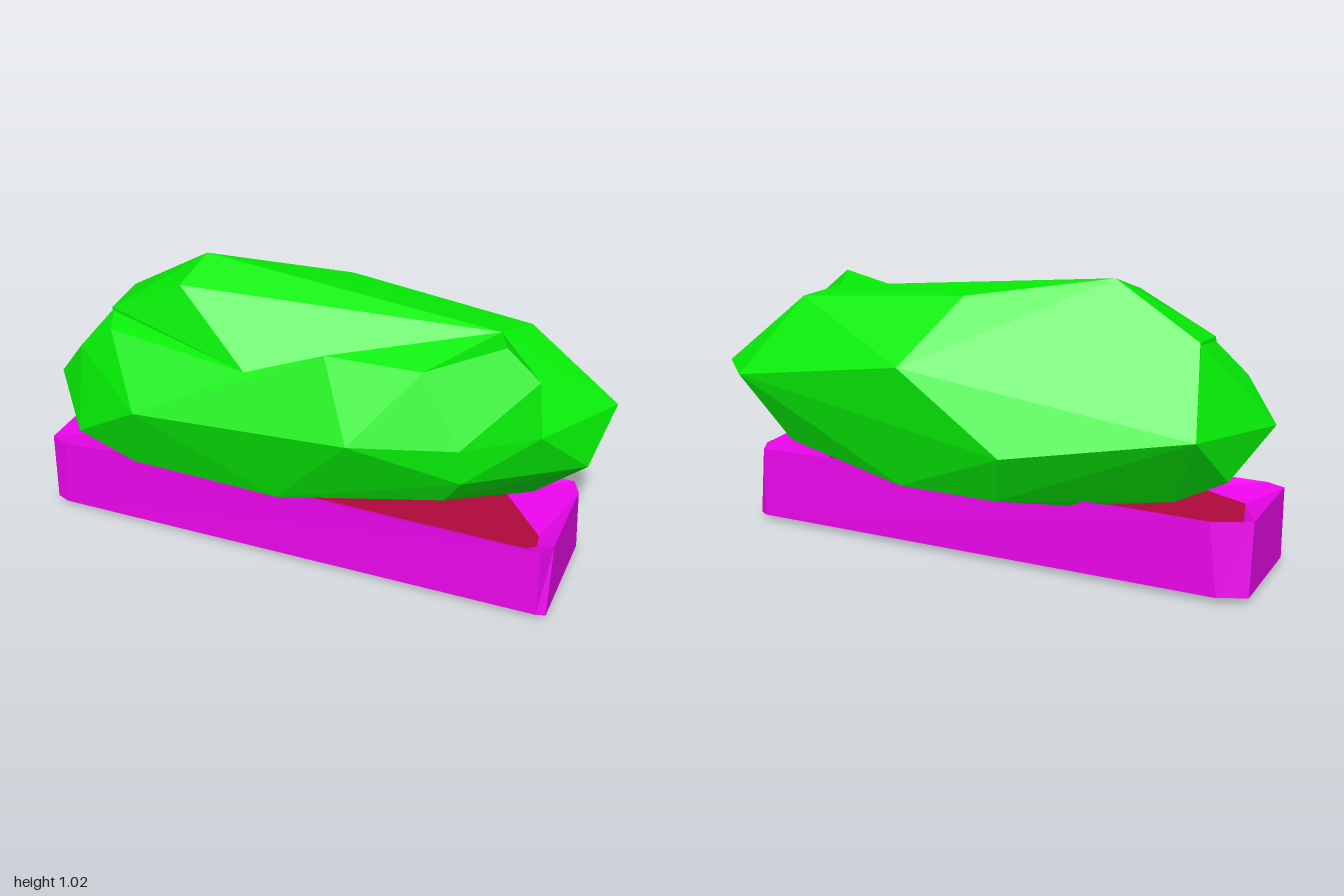
import * as THREE from 'three';
import { ConvexGeometry } from 'three/addons/geometries/ConvexGeometry.js';

const material = (color) => new THREE.MeshStandardMaterial({ color, flatShading: true });

// Faceted convex clump from a few corner points
function clump(name, points, mat) {
  const mesh = new THREE.Mesh(new ConvexGeometry(points.map((p) => new THREE.Vector3(...p))), mat);
  mesh.name = name;
  return mesh;
}

// Skin between stacked loops of [x, z] corners; optional caps at the ends
function loft(name, rings, mat, capFirst, capLast) {
  const pos = [];
  const index = [];
  const n = rings[0].loop.length;
  rings.forEach(({ loop, y }) => loop.forEach(([x, z]) => pos.push(x, y, z)));
  for (let r = 0; r < rings.length - 1; r++) {
    for (let i = 0; i < n; i++) {
      const a = r * n + i, b = r * n + (i + 1) % n;
      index.push(a, b, b + n, a, b + n, a + n);
    }
  }
  const last = (rings.length - 1) * n;
  for (let i = 1; i < n - 1; i++) {
    if (capFirst) index.push(0, i + 1, i);
    if (capLast) index.push(last, last + i, last + i + 1);
  }
  const geo = new THREE.BufferGeometry();
  geo.setAttribute('position', new THREE.Float32BufferAttribute(pos, 3));
  geo.setIndex(index);
  geo.computeVertexNormals();
  const mesh = new THREE.Mesh(geo, mat);
  mesh.name = name;
  return mesh;
}

export function createModel() {
  const group = new THREE.Group();
  const green = material(0x06ee06);
  const magenta = material(0xee06ee);
  const red = material(0xb0083c);

  // Trough: chamfered outline, running counter-clockwise seen from above
  const rim = [
    [-1, 0.25], [-0.93, 0.28], [0.88, 0.285], [0.912, 0.23],
    [0.912, -0.11], [0.88, -0.18], [-0.87, -0.187], [-1, -0.12],
  ];
  const foot = [
    [-1, 0.255], [-0.95, 0.275], [0.88, 0.28], [0.912, 0.27],
    [0.912, -0.165], [0.88, -0.185], [-0.9, -0.185], [-1, -0.14],
  ];
  const base = foot.map(([x, z]) => [x * 0.985, 0.05 + (z - 0.05) * 0.75]);
  const bed = [
    [-0.9, 0.12], [-0.7, 0.21], [0.82, 0.235], [0.85, 0.21],
    [0.84, 0.15], [0.65, -0.08], [-0.87, -0.1], [-0.95, -0.07],
  ];
  group.add(loft('planterTrough', [
    { loop: base, y: 0 },
    { loop: foot, y: 0.02 },
    { loop: rim, y: 0.283 },
    { loop: bed, y: 0.25 },
  ], magenta, true, false));

  // Soil bed inside the rim
  group.add(loft('soil', [
    { loop: bed, y: 0.2 },
    { loop: bed, y: 0.25 },
  ], red, false, true));

  // Bush: one tall body with lower clumps along the front
  const bush = new THREE.Group();
  bush.name = 'bush';
  bush.add(clump('mainFoliage', [
    [-0.45, 1.02, 0], [-0.48, 0.96, 0.16], [-0.76, 0.835, -0.02], [-0.76, 0.82, 0.15],
    [0.03, 0.95, -0.18], [0.62, 0.905, -0.02], [0.69, 0.885, -0.155], [-0.18, 0.75, 0.3],
    [0.18, 0.73, -0.39], [-0.2, 0.46, -0.39], [0.87, 0.61, -0.325], [1, 0.62, -0.19],
    [0.95, 0.455, -0.02], [0.82, 0.63, 0.145], [0.59, 0.47, 0.27], [0.52, 0.365, 0.23],
    [-0.81, 0.54, -0.18], [-0.87, 0.36, 0], [-0.7, 0.28, -0.05], [-0.37, 0.26, -0.19],
    [-0.2, 0.25, -0.19], [-0.15, 0.28, -0.31], [0.22, 0.28, -0.31], [0.7, 0.365, -0.255],
    [0.77, 0.31, -0.02], [0.69, 0.285, -0.02], [-0.6, 0.29, 0.2],
  ], green));
  bush.add(clump('frontRightFoliage', [
    [-0.98, 0.53, 0.17], [-0.86, 0.68, 0.22], [-0.72, 0.78, 0.24], [-0.18, 0.75, 0.3],
    [-0.76, 0.81, 0.14], [-0.76, 0.83, -0.02], [-0.81, 0.54, -0.18], [-0.87, 0.36, 0],
    [-0.57, 0.55, 0.39], [-0.85, 0.37, 0.3], [-0.63, 0.29, 0.3], [-0.07, 0.275, 0.3],
    [0.22, 0.59, 0.38], [-0.7, 0.28, -0.05],
  ], green));
  bush.add(clump('frontLeftFoliage', [
    [-0.18, 0.75, 0.3], [0.1, 0.855, 0.27], [0.43, 0.84, 0.23], [0.58, 0.6, 0.28],
    [0.62, 0.905, -0.02], [0.22, 0.59, 0.38], [-0.57, 0.55, 0.39], [-0.07, 0.275, 0.3],
    [0.59, 0.47, 0.27], [0.52, 0.365, 0.23], [0.5, 0.285, 0.1], [0.1, 0.3, 0],
  ], green));
  bush.add(clump('sideTuft', [
    [0.68, 0.93, 0.13], [0.8, 0.83, 0.135], [0.82, 0.63, 0.145], [0.58, 0.6, 0.28],
    [0.43, 0.84, 0.23], [0.62, 0.905, -0.02], [0.4, 0.6, 0.1], [0.59, 0.47, 0.27],
  ], green));
  group.add(bush);
  return group;
}
